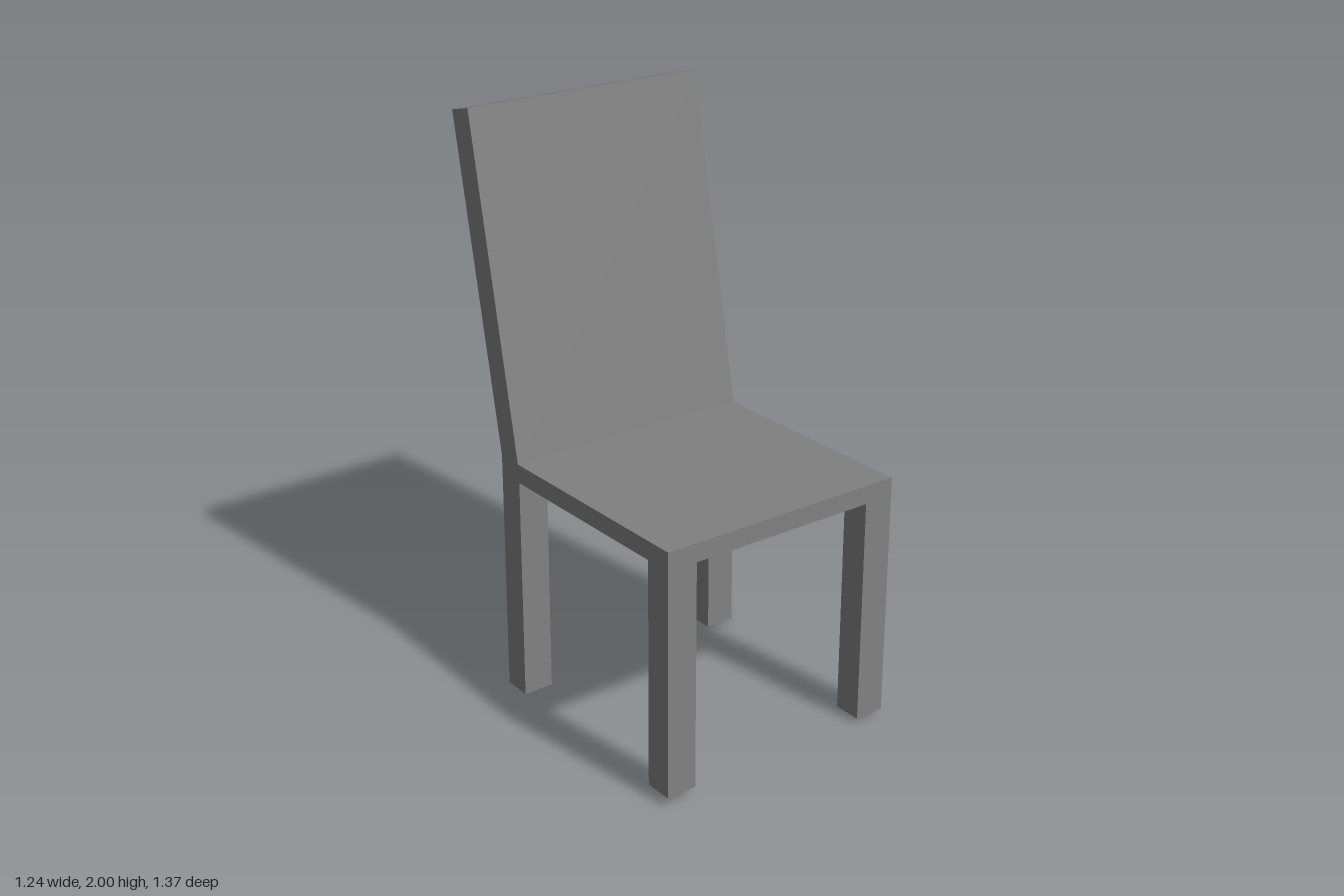
import * as THREE from 'three';

const WIDTH = 0.9;        // seat width
const DEPTH = 0.903;      // seat depth including the back
const SEAT = 0.064;       // seat thickness
const FLOOR = -0.853;     // leg ends, measured from the seat top
const LEG_W = 0.108;
const LEG_D = 0.1;

// Square leg: four walls, open at both ends
function legGeometry() {
  const h = -FLOOR - SEAT;
  const geo = new THREE.BoxGeometry(LEG_W, h, LEG_D);
  const idx = Array.from(geo.index.array);
  geo.setIndex([...idx.slice(0, 12), ...idx.slice(24)]);
  geo.clearGroups();
  return geo;
}

export function createModel() {
  const model = new THREE.Group();
  model.name = 'chair';
  const grey = new THREE.MeshStandardMaterial({ color: 0x808080, side: THREE.DoubleSide });
  grey.name = 'grey';

  // Chair frame: origin at the front corner of the seat top, on its left side
  const chair = new THREE.Group();
  chair.name = 'tiltedChair';
  model.add(chair);

  // Seat and leaning back share one side profile (z, y)
  const profile = new THREE.Shape([
    [0, -SEAT], [0, 0], [-0.808, 0], [-1.038, 1.134],
    [-1.13, 1.112], [-DEPTH, 0], [-DEPTH, -SEAT],
  ].map(([z, y]) => new THREE.Vector2(z, y)));
  const body = new THREE.ExtrudeGeometry(profile, { depth: WIDTH, bevelEnabled: false });
  body.rotateY(-Math.PI / 2);
  const seatAndBack = new THREE.Mesh(body, grey);
  seatAndBack.name = 'seatAndBack';
  chair.add(seatAndBack);

  // Four legs flush with the corners
  const legGeo = legGeometry();
  for (const [zName, z] of [['front', -LEG_D / 2], ['back', -DEPTH + LEG_D / 2]]) {
    for (const [xName, x] of [['Left', -LEG_W / 2], ['Right', -WIDTH + LEG_W / 2]]) {
      const leg = new THREE.Mesh(legGeo, grey);
      leg.name = `${zName}${xName}Leg`;
      leg.position.set(x, (FLOOR - SEAT) / 2, z);
      chair.add(leg);
    }
  }

  // The whole chair is turned and slightly tilted
  const xAxis = new THREE.Vector3(0.86, -0.015, 0.27).normalize();
  const zAxis = new THREE.Vector3(-0.245, 0.015, 0.77);
  const yAxis = zAxis.clone().cross(xAxis).normalize();
  zAxis.crossVectors(xAxis, yAxis);
  chair.quaternion.setFromRotationMatrix(new THREE.Matrix4().makeBasis(xAxis, yAxis, zAxis));
  chair.position.set(0.255, 0.87, 0.675);
  return model;
}
